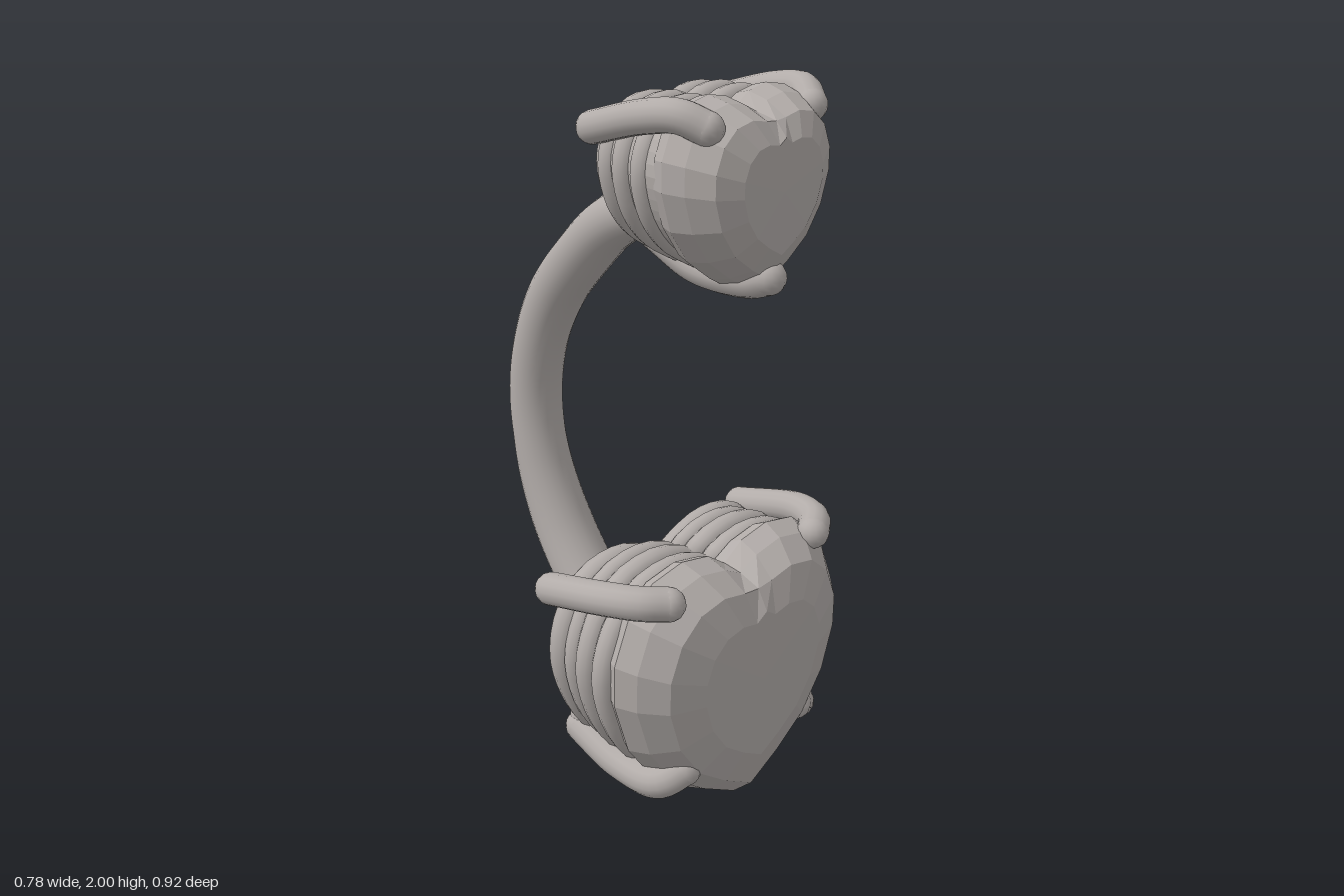
import * as THREE from 'three';

const V = (x, y, z) => new THREE.Vector3(x, y, z);

// Right half of the heart outline, from cleft to tip
const HALF = [[0, 0.82], [0.06, 0.862], [0.15, 0.88], [0.25, 0.86], [0.33, 0.79], [0.375, 0.68],
  [0.376, 0.57], [0.33, 0.42], [0.24, 0.29], [0.12, 0.2], [0, 0.13]];

// Closes a right half by mirroring it
const mirrored = half => [...half, ...half.slice(1, -1).reverse().map(p => V(-p.x, p.y, p.z))];

// Cut-stone ring: the cleft fades out as the ring shrinks
function stoneRing(size, cy, [s, z]) {
  return mirrored(HALF.map(([x, y], i) => {
    const lift = i === 0 ? (1 - s) * 0.18 : 0;
    return V(x * size * s, cy + (y + lift - 0.55) * size * s, z);
  }));
}

// Smooth heart ring of the setting, a little shorter than the stone
function settingRing(size, cy, [s, z]) {
  const curve = new THREE.SplineCurve(HALF.map(([x, y]) => new THREE.Vector2(x, y)));
  return mirrored(curve.getSpacedPoints(24).map(p => V(p.x * size * s, cy + (p.y - 0.55) * size * s * 0.91, z)));
}

// Faceted solid through heart rings, front to back; the first and last rings are points
function loft(loops) {
  const n = loops[0].length, pts = [];
  for (let i = 0; i + 1 < loops.length; i++) {
    for (let j = 0; j < n; j++) {
      const k = (j + 1) % n;
      const a = loops[i][j], b = loops[i][k], c = loops[i + 1][k], d = loops[i + 1][j];
      if (i > 0) pts.push(a, b, c);
      if (i + 2 < loops.length) pts.push(a, c, d);
    }
  }
  const g = new THREE.BufferGeometry().setFromPoints(pts);
  g.computeVertexNormals();
  return g;
}

// Round wire along a closed clockwise loop, mitred at cleft and tip
function mitredWire(points, r, sides = 12) {
  const n = points.length, pos = [], index = [];
  const left = (p, q) => new THREE.Vector2(p.y - q.y, q.x - p.x).normalize();
  points.forEach((p, i) => {
    const before = left(points[(i + n - 1) % n], p), after = left(p, points[(i + 1) % n]);
    const out = before.clone().add(after).normalize();
    const k = r / Math.max(0.5, out.dot(before));
    for (let j = 0; j < sides; j++) {
      const a = j / sides * Math.PI * 2, c = Math.cos(a) * k;
      pos.push(p.x + out.x * c, p.y + out.y * c, p.z + Math.sin(a) * r);
      const i2 = (i + 1) % n, j2 = (j + 1) % sides;
      const A = i * sides + j, B = i * sides + j2, C = i2 * sides + j2, D = i2 * sides + j;
      index.push(A, B, C, A, C, D);
    }
  });
  const g = new THREE.BufferGeometry();
  g.setAttribute('position', new THREE.Float32BufferAttribute(pos, 3));
  g.setIndex(index);
  g.computeVertexNormals();
  return g;
}

export function createModel() {
  const metal = new THREE.MeshStandardMaterial({ color: 0xb2aca9 });
  metal.name = 'warm grey metal';
  const model = new THREE.Group();
  model.name = 'curvedBarbell';

  function add(parent, name, geometry) {
    const m = new THREE.Mesh(geometry, metal);
    m.name = name;
    parent.add(m);
    return m;
  }

  // Round-ended wire
  function wire(parent, name, points, r) {
    const g = new THREE.Group();
    g.name = name;
    parent.add(g);
    const curve = new THREE.CatmullRomCurve3(points);
    add(g, name + 'Shaft', new THREE.TubeGeometry(curve, 28, r, 14));
    for (const p of [points[0], points[points.length - 1]]) {
      add(g, name + 'End', new THREE.SphereGeometry(r, 14, 10)).position.copy(p);
    }
  }

  // The same wire on both sides
  function wirePair(parent, name, pts, r) {
    wire(parent, name + 'Left', pts.map(p => V(...p)), r);
    wire(parent, name + 'Right', pts.map(([x, y, z]) => V(-x, y, z)), r);
  }

  // Cut stone, hollow-backed basket and its ribs [scale, z, radius]
  function setting(name, size, cy, lip, ribs) {
    const g = new THREE.Group();
    g.name = name;
    model.add(g);
    const cut = [[0, 0.457], [0.55, 0.455], [0.8, 0.425], [0.94, 0.365], [1, 0.31], [0.95, 0.275], [0, 0.2]];
    add(g, 'stone', loft(cut.map(ring => stoneRing(size, cy, ring))));
    const shell = [[0, 0.3], [0.95, 0.29], [0.92, 0.2], [0.88, 0.08], [lip, 0.08], [lip - 0.06, 0.17], [0, 0.22]];
    add(g, 'basket', loft(shell.map(ring => settingRing(size, cy, ring))));
    for (const [s, z, r] of ribs) add(g, 'rib', mitredWire(settingRing(size, cy, [s, z]), r));
    return g;
  }

  // Large lower heart
  const large = setting('largeHeart', 1, 0.55, 0.68,
    [[0.92, 0.25, 0.034], [0.91, 0.188, 0.034], [0.9, 0.135, 0.028]]);
  const rear = new THREE.CatmullRomCurve3([[0, 0.735], [0.07, 0.775], [0.15, 0.8], [0.25, 0.785], [0.32, 0.71],
    [0.34, 0.6], [0.29, 0.445], [0.2, 0.32], [0.1, 0.19], [0, 0.058]].map(([x, y]) => V(x, y, 0.09)));
  add(large, 'rearRail', mitredWire(mirrored(rear.getSpacedPoints(32)), 0.037));
  wirePair(large, 'upperProng',
    [[0.26, 0.835, 0.375], [0.31, 0.84, 0.335], [0.342, 0.83, 0.25], [0.342, 0.775, 0.05]], 0.042);
  wirePair(large, 'lowerProng',
    [[0.21, 0.345, 0.385], [0.26, 0.315, 0.35], [0.268, 0.305, 0.22], [0.258, 0.335, 0.06]], 0.044);
  wirePair(large, 'upperBrace', [[0.342, 0.775, 0.05], [0.255, 0.71, 0.045], [0.165, 0.63, 0.045]], 0.035);
  wirePair(large, 'lowerBrace', [[0.165, 0.63, 0.045], [0.215, 0.49, 0.05], [0.258, 0.34, 0.06]], 0.035);
  wirePair(large, 'bridge', [[0.258, 0.34, 0.065], [0.14, 0.35, 0.08], [0, 0.38, 0.085]], 0.035);

  // Small upper heart
  const small = setting('smallHeart', 0.61, 1.789, 0.5,
    [[0.86, 0.225, 0.03], [0.85, 0.165, 0.03], [0.81, 0.11, 0.03], [0.62, 0.08, 0.03]]);
  wirePair(small, 'upperProng',
    [[0.165, 1.94, 0.38], [0.195, 1.962, 0.33], [0.21, 1.95, 0.24], [0.21, 1.9, 0.075]], 0.038);
  wire(small, 'lowerProng',
    [V(0, 1.588, 0.42), V(0, 1.567, 0.36), V(0, 1.562, 0.2), V(0, 1.612, 0.06)], 0.041);

  // Curved bar, its width varying along the height
  const path = [[1.685, 0.12], [1.655, 0], [1.595, -0.1], [1.495, -0.2], [1.37, -0.3], [1.22, -0.37], [1.06, -0.396],
    [0.88, -0.37], [0.71, -0.295], [0.57, -0.19], [0.48, -0.09], [0.41, 0], [0.36, 0.09]].map(([y, z]) => V(0, y, z));
  const bar = new THREE.TubeGeometry(new THREE.CatmullRomCurve3(path), 80, 0.067, 24);
  const pos = bar.attributes.position;
  const widths = [[0.36, 0.08], [0.56, 0.092], [0.72, 0.088], [0.95, 0.074], [1.25, 0.076], [1.5, 0.092], [1.68, 0.08], [2, 0.08]];
  for (let i = 0; i < pos.count; i++) {
    const y = pos.getY(i);
    const k = Math.max(1, widths.findIndex(w => w[0] > y));
    const [y0, w0] = widths[k - 1], [y1, w1] = widths[k];
    const t = THREE.MathUtils.clamp((y - y0) / (y1 - y0), 0, 1);
    pos.setX(i, pos.getX(i) / 0.067 * THREE.MathUtils.lerp(w0, w1, t));
  }
  add(model, 'curvedBar', bar);

  return model;
}
